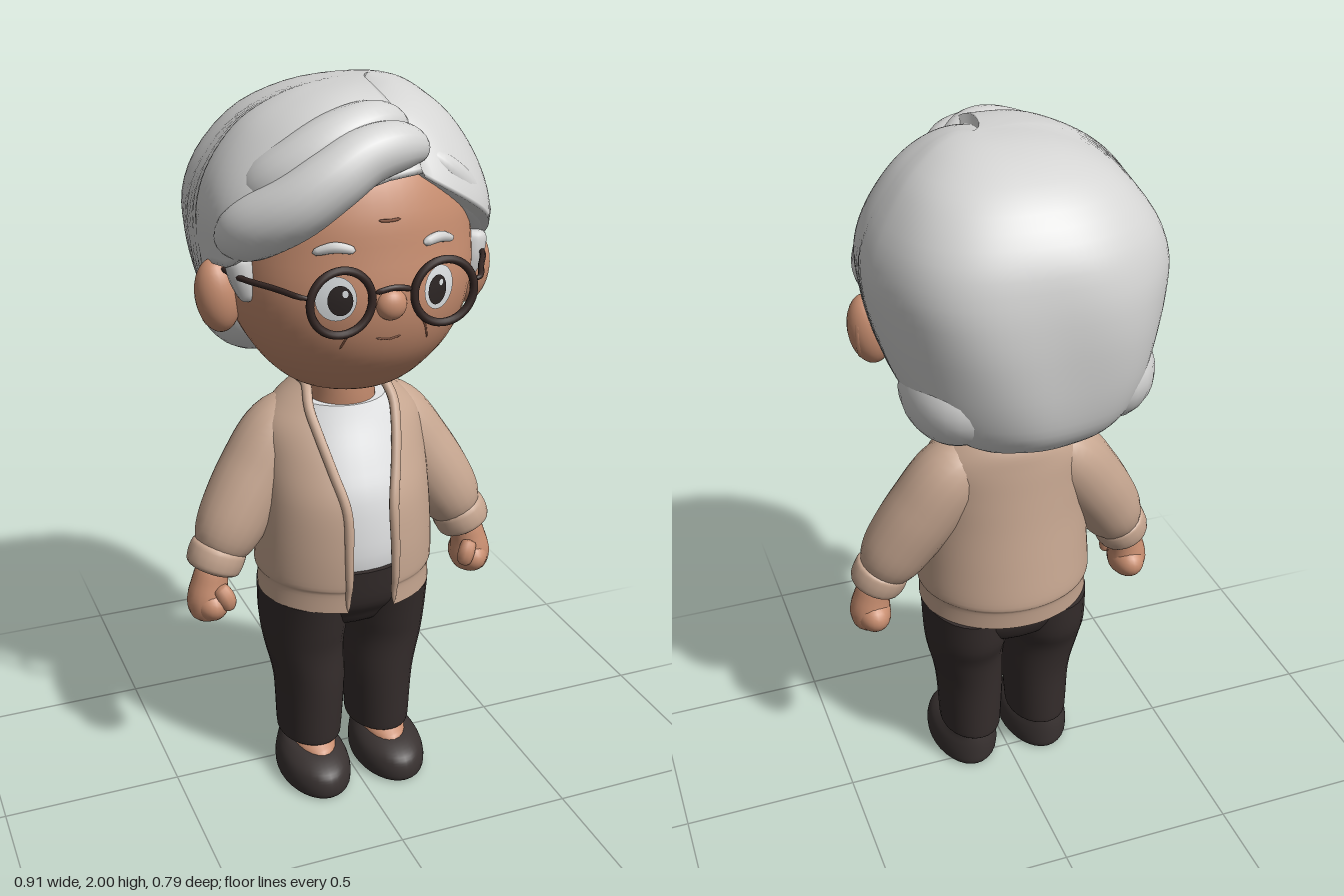
import * as THREE from 'three';

const mat = (name, color, extra = {}) => new THREE.MeshStandardMaterial({ name, color, ...extra });
const M = {
  skin: mat('skin', 0xc88e70), hair: mat('grey hair', 0xd4d4d3),
  cardigan: mat('beige cardigan', 0xc7a791, { side: THREE.DoubleSide }),
  shirt: mat('white shirt', 0xe4e5e6), trousers: mat('dark trousers', 0x352d2c),
  shoe: mat('dark shoe', 0x393231), frame: mat('glasses frame', 0x352724),
  white: mat('eye white', 0xe0e4e6), pupil: mat('pupil', 0x2d2625), crease: mat('skin crease', 0x8a5a45),
};
const TAU = Math.PI * 2;
const V = (p) => new THREE.Vector3(...p);

// Smooth interpolation through rows of numbers; t runs over row indices
function sample(rows, t) {
  const n = rows.length - 1, i = Math.min(Math.floor(t), n - 1), f = t - i;
  const r = (k) => rows[Math.max(0, Math.min(n, k))];
  return r(i).map((b, c) => {
    const a = r(i - 1)[c], d = r(i + 1)[c], e = r(i + 2)[c];
    return b + 0.5 * f * (d - a + f * (2 * a - 5 * b + 4 * d - e + f * (3 * (b - d) + e - a)));
  });
}
function rowAt(rows, y) {
  let lo = 0, hi = rows.length - 1;
  for (let k = 0; k < 24; k++) {
    const m = (lo + hi) / 2;
    if (sample(rows, m)[0] < y) lo = m; else hi = m;
  }
  return (lo + hi) / 2;
}

// Surface grid: fn(i, j) gives a point; columns wrap when closed
function grid(nu, nv, fn, closed = true) {
  const pos = [], idx = [], w = closed ? nu : nu + 1;
  for (let j = 0; j <= nv; j++) for (let i = 0; i < w; i++) pos.push(...fn(i, j));
  for (let j = 0; j < nv; j++) for (let i = 0; i < nu; i++) {
    const a = j * w + i, b = j * w + (i + 1) % w;
    idx.push(a, b, b + w, a, b + w, a + w);
  }
  const g = new THREE.BufferGeometry();
  g.setAttribute('position', new THREE.Float32BufferAttribute(pos, 3));
  g.setIndex(idx);
  g.computeVertexNormals();
  return g;
}

// Point on an elliptical section; row = [y, halfWidth, zFront, zBack, xCentre]
function onSection([y, w, zf, zb, x = 0], a, k = 1) {
  return [x + k * w * Math.sin(a), y, (zf + zb) / 2 + k * (zf - zb) / 2 * Math.cos(a)];
}

// Closed loft of elliptical sections, rows listed bottom to top
function loft(rows, seg = 32, sub = 4) {
  const n = (rows.length - 1) * sub;
  return grid(seg, n + 4, (i, j) => {
    const t = Math.max(0, Math.min(n, j - 2)) / sub;
    return onSection(sample(rows, t), i / seg * TAU, j === 0 || j === n + 4 ? 0 : 1);
  });
}

// Round-ended sweep along a curve with changing radius
function limb(points, radii, seg = 14, len = 24) {
  const c = new THREE.CatmullRomCurve3(points.map(V)), fr = c.computeFrenetFrames(len);
  const rr = radii.map((r) => [r]);
  return grid(seg, len, (i, j) => {
    const v = j / len, a = i / seg * TAU;
    const r = sample(rr, v * (rr.length - 1))[0] * Math.sqrt(Math.max(0, 1 - (2 * v - 1) ** 8));
    return c.getPointAt(v).addScaledVector(fr.normals[j], r * Math.cos(a))
      .addScaledVector(fr.binormals[j], r * Math.sin(a)).toArray();
  });
}

const FACE = [[1.215, .07, .17, .02], [1.235, .15, .22, -.04], [1.28, .212, .27, -.1], [1.35, .268, .325, -.15],
  [1.43, .308, .358, -.2], [1.52, .322, .37, -.2], [1.62, .32, .36, -.2], [1.72, .305, .345, -.2],
  [1.82, .25, .3, -.18], [1.9, .12, .2, -.1]];
const HAIR = [[1.25, .09, -.14, -.28], [1.268, .19, -.02, -.32], [1.32, .275, .21, -.36], [1.4, .325, .3, -.382],
  [1.5, .36, .36, -.395], [1.6, .38, .38, -.4], [1.7, .385, .38, -.392], [1.8, .35, .345, -.362],
  [1.9, .275, .285, -.285], [1.96, .185, .22, -.185], [1.988, .095, .13, -.09], [1.995, 0, .0, .0]];
const COAT = [[.6, .246, .268, -.172], [.655, .244, .27, -.178], [.68, .252, .276, -.186], [.78, .248, .275, -.175],
  [.9, .24, .26, -.16], [1, .235, .22, -.15], [1.09, .225, .175, -.142], [1.15, .178, .145, -.132], [1.2, .115, .115, -.1]];
// Hairline: [degrees from the front towards +x, height]
const HAIRLINE = [[-180, 1.25], [-102, 1.25], [-95, 1.29], [-90, 1.38], [-85, 1.52], [-75, 1.57], [-62, 1.58], [-50, 1.64],
  [-40, 1.68], [-27, 1.73], [-15, 1.78], [0, 1.8], [18, 1.81], [40, 1.71], [60, 1.62], [72, 1.57], [85, 1.52],
  [90, 1.38], [95, 1.29], [102, 1.25], [180, 1.25]];

function hairCap() {
  const nu = 96, nv = 36, top = HAIR.length - 1;
  return grid(nu, nv, (i, j) => {
    const deg = i / nu * 360 - 180, a = deg * Math.PI / 180;
    const k = Math.max(1, HAIRLINE.findIndex((h) => h[0] >= deg));
    const [d0, y0] = HAIRLINE[k - 1], [d1, y1] = HAIRLINE[k];
    const yEnd = y0 + (y1 - y0) * (deg - d0) / (d1 - d0);
    const t0 = yEnd < 1.251 ? 0 : rowAt(HAIR, yEnd);
    const v = Math.max(0, j - 1) / (nv - 1);
    // Sections are slightly square
    const square = (Math.abs(Math.sin(a)) ** 2.5 + Math.abs(Math.cos(a)) ** 2.5) ** -.4;
    const p = onSection(sample(HAIR, t0 + (top - t0) * v), a, j === 0 ? Math.min(.78, t0 / 2) : square);
    // The left side of the parting sits lower; soft waves run down the sides
    const low = deg > 17 && deg < 85 ? .06 * (85 - deg) / 68 * (1 - v ** 6) : 0;
    const s = 1 - low + .008 * Math.sin(a * 7 + p[1] * 9) * (1 - v ** 3);
    return [p[0] * s + .085 * v ** 5, 1.55 + (p[1] - 1.55) * (1 - low), p[2] * s];
  });
}

function faceZ(x, y) {
  const [, w, zf, zb] = sample(FACE, rowAt(FACE, y));
  return (zf + zb) / 2 + (zf - zb) / 2 * Math.sqrt(Math.max(0, 1 - (x / w) ** 2));
}
const onFace = (pts, off) => pts.map(([x, y]) => [x, y, faceZ(x, y) + off]);

// Thin oval laid on the face
function facePatch(x, y, rx, ry, off) {
  const g = new THREE.RingGeometry(0, 1, 28, 4), p = g.attributes.position;
  for (let i = 0; i < p.count; i++) {
    const px = x + p.getX(i) * rx, py = y + p.getY(i) * ry;
    p.setXYZ(i, px, py, faceZ(px, py) + off);
  }
  g.computeVertexNormals();
  return g;
}

const opening = (y) => .067 + .053 * Math.max(0, Math.min(1, (y - .9) / .23));
function coatPoint(t, u) {
  const s = sample(COAT, t), a0 = Math.asin(Math.min(.93, opening(s[0]) / s[1]));
  return onSection(s, a0 + (TAU - 2 * a0) * u);
}

export function createModel() {
  const root = new THREE.Group();
  const add = (name, geo, material, pos = [0, 0, 0], scale = [1, 1, 1], rot = [0, 0, 0]) => {
    const m = new THREE.Mesh(geo, material);
    m.name = name;
    m.position.set(...pos); m.scale.set(...scale); m.rotation.set(...rot);
    root.add(m);
  };
  const ball = new THREE.SphereGeometry(1, 24, 16);

  // Head and hair
  add('face', loft(FACE, 48), M.skin);
  add('neck', loft([[1.1, .1, .125, -.07], [1.18, .088, .132, -.055], [1.28, .085, .13, -.05]]), M.skin);
  add('nose', ball, M.skin, [0, 1.503, .365], [.04, .04, .03]);
  add('hair', hairCap(), M.hair);
  add('fringe', limb([[.125, 1.85, .275], [.04, 1.87, .3], [-.05, 1.855, .312], [-.135, 1.805, .315], [-.215, 1.745, .29],
    [-.295, 1.685, .22], [-.345, 1.625, .1]], [.05, .065, .073, .078, .08, .075, .05], 20, 40), M.hair);
  add('fringeCrown', limb([[.1, 1.895, .2], [.01, 1.905, .23], [-.1, 1.87, .24], [-.2, 1.8, .215], [-.28, 1.73, .14]],
    [.045, .07, .08, .085, .08], 20, 28), M.hair);
  add('leftLock', limb([[.125, 1.845, .255], [.19, 1.79, .258], [.262, 1.715, .222], [.322, 1.645, .14], [.345, 1.6, .05]],
    [.03, .04, .045, .048, .04], 16, 28), M.hair);
  add('forehead crease', limb(onFace([[-.03, 1.708], [0, 1.706], [.03, 1.708]], 0), [.004, .004], 6, 8), M.crease);
  add('mouth', limb(onFace([[-.035, 1.416], [0, 1.41], [.035, 1.416]], -.001), [.003, .003], 6, 10), M.crease);

  // Glasses bridge
  add('glassesBridge', limb([[-.05, 1.54, .378], [0, 1.55, .384], [.05, 1.54, .378]], [.008, .008], 8, 10), M.frame);

  // Torso
  add('hips', loft([[.485, .08, .1, -.05], [.51, .18, .165, -.105], [.55, .226, .195, -.132], [.6, .238, .226, -.145],
    [.705, .22, .246, -.15]]), M.trousers);
  add('shirt', loft([[.66, .2, .22, -.13], [.75, .21, .238, -.14], [.9, .2, .232, -.13], [1, .19, .2, -.12],
    [1.1, .165, .158, -.11], [1.155, .125, .138, -.09]]), M.shirt);
  const rows = COAT.length - 1;
  add('cardigan', grid(56, 40, (i, j) => coatPoint(j / 40 * rows, i / 56), false), M.cardigan);
  // Trim runs up one front edge, round the neck and down the other
  const trim = [];
  for (let t = 0; t <= rows; t++) trim.push(coatPoint(t, 0));
  for (const u of [.2, .35, .5, .65, .8]) trim.push(coatPoint(rows, u));
  for (let t = rows; t >= 0; t--) trim.push(coatPoint(t, 1));
  add('cardiganTrim', limb(trim, [.014, .014], 10, 90), M.cardigan);

  // Paired parts
  for (const s of [1, -1]) {
    const side = s > 0 ? 'left' : 'right';
    const mx = (pts) => pts.map(([x, ...r]) => [x * s, ...r]);
    const put = (name, ...args) => add(side + name, ...args);

    put('NapeCurl', ball, M.hair, [.2 * s, 1.395, -.15], [.135, .14, .175]);
    put('Ear', ball, M.skin, [.35 * s, 1.48, .072], [.058, .098, .055], [0, 0, -.12 * s]);
    put('EarRim', new THREE.TorusGeometry(.053, .012, 8, 24), M.skin, [.37 * s, 1.485, .076], [.75, 1.35, 1],
      [0, 1.15 * s, 0]);
    put('Sideburn', limb(mx([[.318, 1.61, .155], [.308, 1.55, .162], [.295, 1.485, .168]]), [.04, .038, .024]), M.hair);
    put('EyeWhite', facePatch(.136 * s, 1.525, .047, .056, .004), M.white);
    put('Pupil', facePatch(.128 * s, 1.522, .029, .038, .008), M.pupil);
    put('EyeGlint', facePatch(.128 * s + .01, 1.54, .007, .009, .011), M.white);
    put('Eyebrow', limb(onFace(mx([[.088, 1.642], [.135, 1.65], [.185, 1.636]]), .006), [.011, .014, .01], 10, 14), M.hair);
    put('CheekCrease', limb(onFace(mx([[.07, 1.475], [.1, 1.435], [.118, 1.385]]), -.001), [.003, .003], 6, 10), M.crease);

    put('GlassesRim', new THREE.TorusGeometry(.08, .0105, 10, 40), M.frame, [.135 * s, 1.525, .378]);
    put('GlassesTemple', limb(mx([[.21, 1.545, .378], [.232, 1.548, .372], [.272, 1.553, .3], [.325, 1.556, .2],
      [.345, 1.555, .09]]), [.008, .008], 8, 24), M.frame);

    // Sleeve, cuff and hand
    put('Sleeve', limb(mx([[.06, 1.11, -.015], [.15, 1.06, -.01], [.237, .945, .005], [.312, .83, .025], [.375, .715, .04]]),
      [.08, .104, .106, .098, .082], 20, 28), M.cardigan);
    put('Cuff', limb(mx([[.352, .765, .035], [.37, .725, .04], [.387, .685, .045]]), [.078, .08, .074], 20, 14), M.cardigan);
    put('Hand', limb(mx([[.375, .72, .045], [.392, .66, .048], [.4, .605, .05], [.395, .545, .05]]),
      [.045, .05, .058, .05], 18, 18), M.skin);
    put('Fingers', ball, M.skin, [.395 * s, .598, .047], [.052, .053, .076]);
    put('Thumb', limb(mx([[.38, .66, .09], [.362, .625, .105], [.357, .59, .1]]), [.022, .025, .02], 10, 12), M.skin);

    // Leg, foot and shoe
    const shift = (rs, x) => rs.map((r) => [...r, x * s]);
    put('TrouserLeg', loft(shift([[.125, .088, .165, -.07], [.14, .091, .17, -.074], [.3, .1, .18, -.08]], .107)
      .concat(shift([[.42, .112, .187, -.1], [.5, .121, .203, -.13], [.6, .122, .225, -.142]], .12)), 28), M.trousers);
    put('Foot', loft(shift([[.05, .065, .21, -.04], [.1, .064, .19, -.042], [.122, .06, .16, -.042],
      [.16, .055, .11, -.035]], .11), 24), M.skin);
    put('Shoe', loft(shift([[0, .092, .255, -.048], [.014, .1, .266, -.056], [.045, .101, .266, -.058],
      [.075, .093, .25, -.058], [.098, .078, .2, -.056], [.112, .066, .13, -.053]], .116), 32), M.shoe);
  }
  return root;
}
